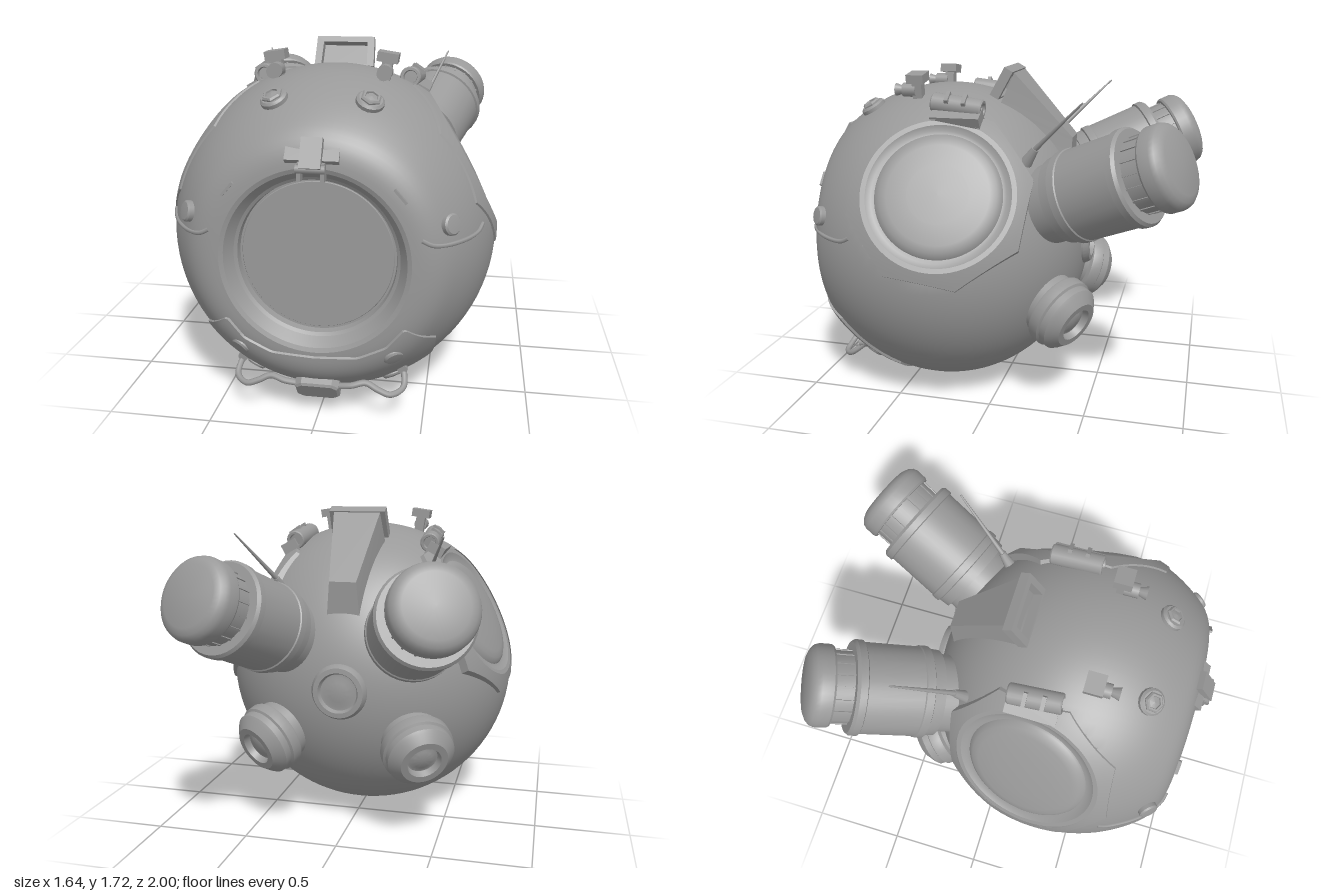
import * as THREE from 'three';
import { toCreasedNormals } from 'three/addons/utils/BufferGeometryUtils.js';

const V = (x, y, z) => new THREE.Vector3(x, y, z);
const UP = V(0, 1, 0), C = V(0, 0.82, 0.33), R = 0.81;
const WIN = V(0.84, 0.46, -0.16).normalize(), WIN_D = 0.7;

// rounds the ball off into its flat front face
const flat = z => {
  const h = Math.max(0.08 - Math.abs(z - 0.605), 0) / 0.08;
  return Math.min(z, 0.605) - h * h * 0.02;
};

export function createModel() {
  const root = new THREE.Group();
  const mat = new THREE.MeshStandardMaterial({ color: 0x999999, side: THREE.DoubleSide });

  const add = (name, geo, parent = root) => {
    const m = new THREE.Mesh(geo, mat);
    m.name = name;
    parent.add(m);
    return m;
  };
  const poly = pts => pts.map(p => new THREE.Vector2(...p));
  const lathe = (pts, seg = 40, crease = 0.5) => toCreasedNormals(new THREE.LatheGeometry(poly(pts), seg), crease);
  // stands a geometry's y axis along a direction
  const along = (name, geo, pos, dir) => {
    const m = add(name, geo);
    m.position.copy(pos);
    m.quaternion.setFromUnitVectors(UP, dir.clone().normalize());
    return m;
  };
  const rod = (name, a, b, r0, r1, seg = 16) =>
    along(name, new THREE.CylinderGeometry(r1, r0, a.distanceTo(b), seg), a.clone().lerp(b, 0.5), b.clone().sub(a));
  const box = (name, w, h, d, x, y, z) => {
    const m = add(name, new THREE.BoxGeometry(w, h, d));
    m.position.set(x, y, z);
    return m;
  };
  // point on the hull seen at x, y from the front
  const onHull = (x, y) => {
    const dy = y - C.y;
    return V(x, y, C.z + flat(Math.sqrt(Math.max(0, R * R - x * x - dy * dy))));
  };

  // hull: ball with recessed front porthole, flattened at the side windows
  const prof = [];
  for (let i = 0; i <= 64; i++) {
    const t = Math.PI + (0.575 - Math.PI) * i / 64, z = R * Math.cos(t);
    prof.push([i ? R * Math.sin(t) : 0, z < 0 ? z * 0.93 : flat(z)]);
  }
  prof.push([0.42, 0.597], [0.405, 0.575], [0.385, 0.545], [0.37, 0.535],
    [0.365, 0.5], [0.355, 0.5], [0.352, 0.505], [0, 0.505]);
  const hull = new THREE.LatheGeometry(poly(prof), 96);
  hull.rotateX(Math.PI / 2);
  const hp = hull.attributes.position, v = V(0, 0, 0);
  for (let i = 0; i < hp.count; i++) {
    v.fromBufferAttribute(hp, i);
    const d = Math.abs(v.x) * WIN.x + v.y * WIN.y + v.z * WIN.z;
    if (d > WIN_D) v.multiplyScalar(WIN_D / d);
    hp.setXYZ(i, v.x, v.y, v.z);
  }
  add('hull', toCreasedNormals(hull, 0.35)).position.copy(C);

  // octagonal frame plate that follows the ball around a side window
  const frameGeo = new THREE.RingGeometry(0.38, 0.48, 64, 4);
  const fp = frameGeo.attributes.position, q = Math.PI / 4;
  for (let i = 0; i < fp.count; i++) {
    const a = Math.atan2(fp.getY(i), fp.getX(i)), f = (Math.hypot(fp.getX(i), fp.getY(i)) - 0.38) / 0.1;
    const oct = 0.43 / Math.cos(((a + 8.5 * q) % q) - q / 2);
    const r = 0.38 + (oct - 0.38) * Math.min(1, f / 0.75);
    const s = f > 0.8 ? 0.78 : 0.818;
    fp.setXYZ(i, r * Math.cos(a), r * Math.sin(a), Math.sqrt(s * s - r * r));
  }
  frameGeo.rotateX(-Math.PI / 2);
  const frame = toCreasedNormals(frameGeo, 0.4);

  const window = lathe([[0.4, -0.04], [0.395, 0.008], [0.38, 0.018], [0.355, 0.018], [0.33, 0.004],
    [0.312, 0.003], [0.305, 0.012], [0.285, 0.026], [0.25, 0.034], [0.15, 0.043], [0, 0.046]], 64);
  const engine = lathe([[0.2, -0.2], [0.2, 0], [0.22, 0], [0.225, 0.055], [0.236, 0.06], [0.236, 0.1], [0.23, 0.105],
    [0.23, 0.385], [0.24, 0.39], [0.24, 0.425], [0.228, 0.44], [0.182, 0.44], [0.182, 0.53], [0.2, 0.53],
    [0.206, 0.54], [0.206, 0.595], [0.198, 0.618], [0.18, 0.635], [0.15, 0.648], [0, 0.652]]);
  const thruster = lathe([[0.165, 0.7], [0.165, 0.79], [0.185, 0.8], [0.19, 0.81], [0.19, 0.86], [0.178, 0.868],
    [0.178, 0.905], [0.165, 0.92], [0.125, 0.955], [0.09, 0.955], [0.08, 0.92], [0.07, 0.92], [0.05, 0.93], [0, 0.935]]);
  const lamp = lathe([[0.05, -0.03], [0.05, 0.012], [0.042, 0.02], [0, 0.024]], 20);
  const lightBase = lathe([[0.066, -0.03], [0.066, 0.008], [0.055, 0.018], [0, 0.018]], 16);
  const lightHex = lathe([[0.05, 0], [0.05, 0.025], [0.042, 0.033], [0.032, 0.033], [0.03, 0.025], [0, 0.032]], 6, 0.3);

  for (const s of [1, -1]) {
    const M = (x, y, z) => V(s * x, y, z);
    const radial = (name, geo, p) => along(name, geo, p, p.clone().sub(C));

    // side window
    const wd = M(WIN.x, WIN.y, WIN.z);
    along('sideWindowFrame', frame, C, wd);
    along('sideWindow', window, C.clone().addScaledVector(wd, WIN_D), wd);

    // main engine with ribbed neck
    const eng = along('engine', engine, M(0.35, 1.11, -0.36), M(0.325, 0.39, -0.861));
    for (let i = 0; i < 18; i++) {
      const a = i / 18 * Math.PI * 2;
      const rib = add('engineRib', new THREE.BoxGeometry(0.01, 0.095, 0.01), eng);
      rib.position.set(0.182 * Math.sin(a), 0.486, 0.182 * Math.cos(a));
      rib.rotation.y = a;
    }
    along('rearThruster', thruster, C, M(0.465, -0.345, -0.8));

    // antenna
    const ab = M(0.38, 1.33, -0.18), at = M(0.52, 1.61, -0.46);
    rod('antenna', ab, at, 0.014, 0.004, 8);
    rod('antennaBase', M(0.37, 1.27, -0.15), ab.clone().lerp(at, 0.12), 0.035, 0.018, 12);

    // roof canister in its cradle
    const p0 = M(0.365, 1.57, 0.315), p1 = M(0.375, 1.54, 0.055);
    along('canister', lathe([[0, 0.02], [0.03, 0.02], [0.034, 0], [0.046, 0], [0.051, 0.006], [0.051, 0.255],
      [0.046, 0.262], [0.034, 0.262], [0.03, 0.245], [0, 0.245]], 20), p0, p1.clone().sub(p0));
    box('canisterCradle', 0.09, 0.09, 0.25, s * 0.4, 1.49, 0.18).rotation.z = -s * 0.5;
    for (const t of [0.33, 0.67]) {
      const p = p0.clone().lerp(p1, t);
      box('canisterClip', 0.07, 0.02, 0.02, p.x + s * 0.03, p.y + 0.04, p.z).rotation.z = -s * 0.6;
    }

    // roof camera
    box('cameraStem', 0.05, 0.13, 0.05, s * 0.26, 1.61, 0.43).rotation.z = -s * 0.15;
    box('cameraPlate', 0.1, 0.045, 0.09, s * 0.27, 1.68, 0.43).rotation.z = -s * 0.15;
    rod('cameraBarrel', M(0.26, 1.615, 0.44), M(0.26, 1.615, 0.51), 0.036, 0.036, 12);
    rod('cameraLens', M(0.26, 1.615, 0.51), M(0.26, 1.615, 0.55), 0.02, 0.033, 12);

    // lights
    radial('roofLightBase', lightBase, M(0.22, 1.515, 0.7));
    radial('roofLight', lightHex, M(0.22, 1.515, 0.7));
    radial('sideLamp', lamp, M(0.6, 1.01, 0.85));
    radial('lowerLamp', lamp, M(0.36, 0.37, 0.885));
    radial('lowerLamp', lamp, M(0.34, 0.18, 0.7));

    // ledge below the side lamp, and slot by the porthole
    const ledge = [[0.48, 0.955], [0.53, 0.93], [0.63, 0.92], [0.72, 0.925], [0.74, 0.95]].map(p => onHull(s * p[0], p[1]));
    add('sideLedge', new THREE.TubeGeometry(new THREE.CatmullRomCurve3(ledge), 24, 0.011, 6));
    box('rimSlot', 0.08, 0.012, 0.03, s * 0.385, 1.15, onHull(0.385, 1.15).z).rotation.z = -s * 0.85;

    // hose half with end fitting
    const hose = new THREE.CatmullRomCurve3([M(0.4, 0.23, 0.74), M(0.405, 0.17, 0.82), M(0.35, 0.155, 0.87),
      M(0.29, 0.175, 0.87), M(0.23, 0.2, 0.86), M(0.16, 0.185, 0.87), M(0.08, 0.17, 0.86)]);
    add('hose', new THREE.TubeGeometry(hose, 40, 0.015, 8));
    rod('hoseFitting', M(0.39, 0.245, 0.68), M(0.395, 0.235, 0.77), 0.024, 0.024, 12);

    // latch lugs
    box('latchLug', 0.018, 0.08, 0.05, s * 0.052, 1.25, 0.95);
  }

  // rear hatch ring
  along('rearHatch', lathe([[0.145, 0.68], [0.145, 0.75], [0.13, 0.778], [0.105, 0.78], [0.095, 0.757],
    [0.08, 0.757], [0.05, 0.764], [0, 0.767]]), C, V(0, 0, -1));

  // roof scoop: tapered body and tilted intake frame
  const scoop = new THREE.BoxGeometry(1, 1, 1), sp = scoop.attributes.position;
  for (let i = 0; i < sp.count; i++) {
    const front = sp.getZ(i) > 0, top = sp.getY(i) > 0;
    const [hw, y, z] = front ? (top ? [0.125, 1.7, -0.04] : [0.14, 1.54, 0.03])
      : (top ? [0.07, 1.37, -0.34] : [0.085, 1.2, -0.33]);
    sp.setXYZ(i, Math.sign(sp.getX(i)) * hw, y, z);
  }
  add('roofScoop', toCreasedNormals(scoop, 0.3));
  const intake = new THREE.Shape(poly([[-0.155, -0.08], [0.155, -0.08], [0.15, 0.08], [-0.15, 0.08]]));
  intake.holes.push(new THREE.Path(poly([[-0.12, -0.07], [-0.115, 0.05], [0.115, 0.05], [0.12, -0.07]])));
  const intakeMesh = add('scoopIntake', new THREE.ExtrudeGeometry(intake, { depth: 0.05, bevelEnabled: false }));
  intakeMesh.position.set(0, 1.635, 0);
  intakeMesh.rotation.x = -0.5;

  // arched plate and latch above the porthole
  const arch = new THREE.Shape(poly([[-0.12, -0.1], [0.12, -0.1], [0.12, 0.04], [0.07, 0.1], [-0.07, 0.1], [-0.12, 0.04]]));
  const archMesh = add('latchPlate', new THREE.ExtrudeGeometry(arch, { depth: 0.03, bevelEnabled: false }));
  archMesh.position.set(0, 1.355, 0.868);
  archMesh.rotation.x = -0.72;
  box('latch', 0.095, 0.14, 0.045, 0, 1.325, 0.945).rotation.x = -0.53;
  rod('latchPin', V(-0.065, 1.265, 0.972), V(0.065, 1.265, 0.972), 0.02, 0.02, 12);

  // chin plate wrapping under the porthole
  const topY = [[0, 0.36], [0.2, 0.37], [0.33, 0.43], [0.41, 0.53], [0.56, 0.43]];
  const nx = 64, ny = 24, pos = [], idx = [];
  for (let i = 0; i <= nx; i++) {
    const x0 = -0.56 + 1.12 * i / nx, ax = Math.abs(x0);
    let k = 1;
    while (k < 4 && ax > topY[k][0]) k++;
    const [a, b] = [topY[k - 1], topY[k]];
    const y0 = a[1] + (b[1] - a[1]) * (ax - a[0]) / (b[0] - a[0]);
    const phi0 = Math.asin((C.y - y0) / Math.sqrt(R * R - x0 * x0));
    for (let j = 0; j <= ny; j++) {
      const edge = i === 0 || i === nx || j === 0 || j === ny;
      const f = Math.min(1, Math.max(0, (j - 1) / (ny - 2)));
      const x = x0 * (1 - 0.14 * f * f), r = Math.sqrt(R * R - x * x);
      const phi = phi0 + (Math.acos(0.17 / r) - phi0) * f;
      const p = V(x, -r * Math.sin(phi), flat(r * Math.cos(phi))).multiplyScalar(edge ? 0.975 : 1.014).add(C);
      pos.push(p.x, p.y, p.z);
      if (i < nx && j < ny) {
        const n = i * (ny + 1) + j;
        idx.push(n, n + 1, n + ny + 1, n + 1, n + ny + 2, n + ny + 1);
      }
    }
  }
  const chin = new THREE.BufferGeometry();
  chin.setAttribute('position', new THREE.Float32BufferAttribute(pos, 3));
  chin.setIndex(idx);
  add('chinPlate', toCreasedNormals(chin, 0.5));

  // hose junction box
  const hub = new THREE.Shape(poly([[-0.095, -0.035], [-0.07, -0.055], [0.07, -0.055], [0.095, -0.035],
    [0.095, 0.035], [0.07, 0.055], [-0.07, 0.055], [-0.095, 0.035]]));
  const hubMesh = add('hoseJunction', new THREE.ExtrudeGeometry(hub,
    { depth: 0.06, bevelSize: 0.01, bevelThickness: 0.01, bevelSegments: 1 }));
  hubMesh.position.set(0, 0.18, 0.82);
  hubMesh.rotation.x = 0.6;

  return root;
}
